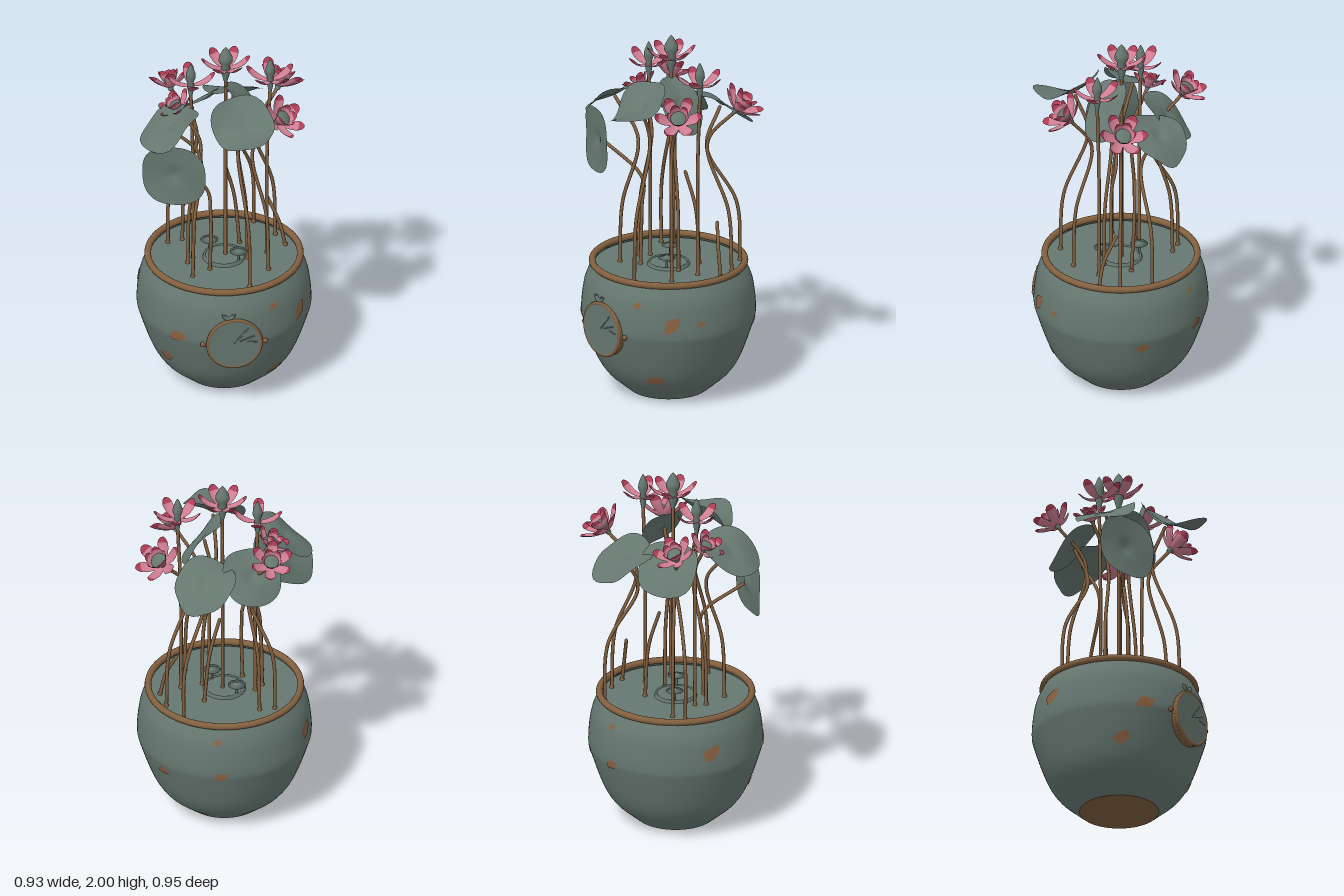
import * as THREE from 'three';

const mat = (name, color, double) => {
  const m = new THREE.MeshStandardMaterial({ color });
  m.name = name;
  if (double) m.side = THREE.DoubleSide;
  return m;
};
const V = (p) => new THREE.Vector3(...p);
const UP = new THREE.Vector3(0, 1, 0);
const FLOOR = 0.69;

export function createModel() {
  const green = mat('greyGreen', 0x667770, true);
  const brown = mat('stemBrown', 0x82603f);
  const rust = mat('rust', 0x8a6242, true);
  const pink = mat('petalPink', 0xcf7d91, true);
  const rose = mat('petalRose', 0xb03e57, true);

  const model = new THREE.Group();
  const add = (parent, name, geo, material, pos = [0, 0, 0]) => {
    const m = new THREE.Mesh(geo, material);
    m.name = name;
    m.position.set(...pos);
    parent.add(m);
    return m;
  };
  const points2 = (pts) => pts.map(([x, y]) => new THREE.Vector2(x, y));

  // Pot wall: a smooth lathe through a few profile points
  const profile = new THREE.SplineCurve(points2([[0.212, 0], [0.265, 0.045], [0.335, 0.11], [0.392, 0.205],
    [0.453, 0.38], [0.467, 0.46], [0.449, 0.61], [0.405, 0.71]])).getPoints(50);
  add(model, 'pot', new THREE.LatheGeometry(profile, 72), green);
  const radiusAt = (y) => {
    const i = Math.max(1, profile.findIndex((p) => p.y >= y));
    const a = profile[i - 1], b = profile[i];
    return a.x + (b.x - a.x) * (y - a.y) / (b.y - a.y);
  };
  add(model, 'potBase', new THREE.CylinderGeometry(0.226, 0.212, 0.012, 48), brown, [0, 0.006, 0]);
  add(model, 'rim', new THREE.TorusGeometry(0.408, 0.018, 12, 72), brown, [0, 0.718, 0]).rotation.x = Math.PI / 2;

  // Inner surface with a round centre plate and two little floating pads
  add(model, 'innerSurface', new THREE.CylinderGeometry(0.4, 0.4, 0.01, 64), green, [0, FLOOR, 0]);
  add(model, 'centrePlate', new THREE.CylinderGeometry(0.11, 0.115, 0.012, 40), green, [0, 0.7, 0]);
  add(model, 'plateRing', new THREE.TorusGeometry(0.105, 0.006, 8, 40), green, [0, 0.706, 0]).rotation.x = Math.PI / 2;
  const padProfile = points2([[0.006, 0], [0.008, 0.055], [0.048, 0.06], [0.012, 0.068], [0, 0.08]]);
  for (const s of [-1, 1]) {
    add(model, 'floatingPad', new THREE.LatheGeometry(padProfile, 16), green, [0.07 * s, 0.705, 0.07 * s]);
  }

  // Rust patches: irregular fans that follow the pot wall
  const patch = (angle, y, w, h, seed) => {
    const pos = [], idx = [], n = 12;
    for (let i = 0; i <= n; i++) {
      const a = (i / n) * Math.PI * 2;
      const k = i === n ? 0 : 0.95 + 0.15 * Math.sin(seed * 2.3 + i * 1.9);
      const py = y + h * k * Math.sin(a), r = radiusAt(py) + 0.004;
      const t = angle + (w * k * Math.cos(a) + 0.4 * h * k * Math.sin(a)) / r;
      pos.push(r * Math.sin(t), py, r * Math.cos(t));
      if (i < n) idx.push(n, i, (i + 1) % n);
    }
    const g = new THREE.BufferGeometry();
    g.setAttribute('position', new THREE.Float32BufferAttribute(pos, 3));
    g.setIndex(idx);
    g.computeVertexNormals();
    add(model, 'rustPatch', g, rust);
  };
  // [angle from the front, height, half width, half height]
  [[-0.68, 0.44, 0.05, 0.035], [-0.95, 0.25, 0.045, 0.035], [0.92, 0.51, 0.042, 0.048], [0.68, 0.16, 0.05, 0.028],
    [0.5, 0.61, 0.022, 0.02], [1.27, 0.51, 0.025, 0.014], [2.4, 0.38, 0.04, 0.025], [-1.87, 0.54, 0.05, 0.042],
    [3.16, 0.43, 0.035, 0.028], [-3.17, 0.635, 0.022, 0.016]].forEach((p, i) => patch(...p, i));

  // Round front plate with ring, side knobs, top clasp and raised creases
  const plate = new THREE.Group();
  plate.name = 'frontPlate';
  plate.position.set(0, 0.43, 0.455);
  model.add(plate);
  add(plate, 'plateDisc', new THREE.CylinderGeometry(0.14, 0.14, 0.05, 48), green, [0, 0, -0.011]).rotation.x = Math.PI / 2;
  add(plate, 'plateEdge', new THREE.TorusGeometry(0.143, 0.01, 10, 56), brown, [0, 0, 0.006]);
  add(plate, 'plateBand', new THREE.CylinderGeometry(0.148, 0.148, 0.045, 48, 1, true), brown, [0, 0, -0.018]).rotation.x = Math.PI / 2;
  for (const s of [-1, 1]) add(plate, 'sideKnob', new THREE.SphereGeometry(0.014, 12, 8), brown, [0.168 * s, -0.005, -0.012]);
  add(plate, 'topClasp', new THREE.TorusGeometry(0.027, 0.01, 8, 16, Math.PI), green, [-0.03, 0.18, 0]).rotation.z = Math.PI;
  for (let i = 0; i < 3; i++) {
    const crease = new THREE.CapsuleGeometry(0.004, 0.11 - 0.03 * i, 4, 8);
    add(plate, 'crease', crease, green, [0.035 + 0.03 * i, 0.05 - 0.02 * i, 0.013]).rotation.z = -0.7 - 0.5 * i;
  }

  // Stems: rise from the base, lean in towards the middle, then reach the end point
  const tube = (pts) => {
    add(model, 'stem', new THREE.TubeGeometry(new THREE.CatmullRomCurve3(pts), 32, 0.0095, 8), brown);
    add(model, 'stemCollar', new THREE.CylinderGeometry(0.0095, 0.014, 0.02, 10), brown, [pts[0].x, 0.702, pts[0].z]);
    add(model, 'stemEnd', new THREE.SphereGeometry(0.0095, 8, 6), brown, pts.at(-1).toArray());
  };
  const stem = ([x, z], end) => {
    const base = new THREE.Vector3(x, FLOOR, z), tip = V(end);
    const knee = new THREE.Vector3(x * 0.95, 1.03, z * 0.95);
    const mid = base.clone().lerp(tip, 0.4).multiplyScalar(0.6).setY(tip.y - 0.2);
    tube([base, knee, mid, tip]);
  };
  // Two broken-off stalks
  tube([[0.34, FLOOR, -0.08], [0.31, 0.83, -0.09], [0.25, 0.97, -0.13]].map(V));
  tube([[0.1, FLOOR, -0.13], [0.07, 1, -0.13], [0.02, 1.2, -0.1]].map(V));

  // Leaves: a disc bent along its tip axis, with a dimple, wavy edge and optional point
  const leaf = (base, center, normal, tipDir, { R = 0.16, width = 1, tip = 0.05, bend = -0.6, wave = 0.012 }) => {
    const rings = 9, seg = 40, pos = [0, -0.015, 0], idx = [];
    for (let i = 1; i <= rings; i++) for (let j = 0; j < seg; j++) {
      const a = (j / seg) * Math.PI * 2, c = Math.cos(a), s = Math.sin(a), u = i / rings;
      const round = Math.pow(Math.abs(c) ** 2.6 + Math.abs(s) ** 2.6, -1 / 2.6);
      const r = R * u * round * (1 + tip * Math.max(0, c) ** 12), x = r * c;
      pos.push(x, bend * x * x + wave * u * u * Math.sin(3 * a + 0.7) - 0.015 * Math.exp(-u * u * 20), r * s * width);
      const b = 1 + (i - 1) * seg, k = b + j, k2 = b + (j + 1) % seg;
      if (i === 1) idx.push(0, k2, k);
      else idx.push(k - seg, k2 - seg, k, k, k2 - seg, k2);
    }
    const g = new THREE.BufferGeometry();
    g.setAttribute('position', new THREE.Float32BufferAttribute(pos, 3));
    g.setIndex(idx);
    g.computeVertexNormals();
    const n = V(normal).normalize(), t = V(tipDir);
    t.addScaledVector(n, -t.dot(n)).normalize();
    const m = add(model, 'leaf', g, green, center);
    m.quaternion.setFromRotationMatrix(new THREE.Matrix4().makeBasis(t, n, t.clone().cross(n)));
    stem(base, V(center).addScaledVector(n, -0.029).toArray());
  };
  leaf([-0.09, 0.12], [-0.3, 1.378, 0.25], [-0.33, 0.03, 0.94], [0, -1, 0], { R: 0.174, tip: 0, bend: 0.3, wave: 0.006 });
  leaf([-0.19, 0.18], [-0.318, 1.615, 0.122], [-0.5, 0.86, 0.08], [-0.6, -0.2, 0.4], { R: 0.163, bend: -1, wave: 0.016 });
  leaf([0.1, 0.32], [0.07, 1.665, 0.258], [-0.14, 0.84, 0.5], [0.36, -0.5, 0.7], { R: 0.16, tip: 0.28, bend: 2, wave: 0.016 });
  leaf([0.2, -0.33], [0.085, 1.57, -0.3], [0.05, 0.86, -0.5], [0.4, -0.4, -0.7], { R: 0.155, tip: 0.3, bend: -1 });
  leaf([-0.28, -0.18], [-0.16, 1.55, -0.2], [-0.35, 0.72, -0.55], [-0.3, -0.4, -0.5], {});
  leaf([0.12, 0.03], [0.13, 1.645, 0.02], [0.78, 0.6, 0.1], [0.6, -0.78, 0], { R: 0.17, width: 0.65 });

  // Petal strip between u0 and u1 of its length, curving from elevation e0 to e1
  const petalGeo = (len, wid, e0, e1, cup, u0, u1) => {
    const g = new THREE.PlaneGeometry(1, 1, 6, 8), p = g.attributes.position;
    for (let i = 0; i < p.count; i++) {
      const v = p.getX(i) * 2, u = u0 + (u1 - u0) * (0.5 - p.getY(i));
      let out = 0, up = 0;
      for (let k = 0; k < 10; k++) {
        const e = e0 + (e1 - e0) * u * (k + 0.5) / 10;
        out += Math.cos(e) * len * u / 10;
        up += Math.sin(e) * len * u / 10;
      }
      const e = e0 + (e1 - e0) * u, grow = Math.min(1, u / 0.72), taper = Math.max(0, (u - 0.72) / 0.28);
      const w = wid / 2 * (0.35 + 0.65 * Math.sin(grow * Math.PI / 2)) * Math.sqrt(Math.max(0, 1 - taper ** 2));
      const lift = cup * v * v * w;
      p.setXYZ(i, v * w, up + lift * Math.cos(e), out - lift * Math.sin(e));
    }
    g.computeVertexNormals();
    return g;
  };
  const whorl = (parent, count, turn, base, shape) => {
    const body = petalGeo(...shape, 0, 0.78), end = petalGeo(...shape, 0.78, 1);
    for (let i = 0; i < count; i++) {
      const a = turn + (i / count) * Math.PI * 2;
      add(parent, 'petal', body, base).rotation.y = a;
      add(parent, 'petalTip', end, rose).rotation.y = a;
    }
  };
  const flower = (name, pos, axis) => {
    const f = new THREE.Group();
    f.name = name;
    f.position.set(...pos);
    f.quaternion.setFromUnitVectors(UP, V(axis).normalize());
    model.add(f);
    return f;
  };

  // Cupped flowers with a broad seed head
  const seedHead = points2([[0.012, -0.015], [0.022, 0.02], [0.043, 0.055], [0.04, 0.065], [0, 0.07]]);
  const cuppedFlower = (base, pos, axis, scale, turn) => {
    const f = flower('cuppedFlower', pos, axis);
    f.scale.setScalar(scale);
    whorl(f, 6, turn, pink, [0.155, 0.064, 0.25, 0.9, 0.35]);
    whorl(f, 5, turn + 0.5, pink, [0.125, 0.058, 0.75, 1.35, 0.35]);
    whorl(f, 8, turn, rose, [0.078, 0.036, 0.65, 1.3, 0.2]);
    add(f, 'seedHead', new THREE.LatheGeometry(seedHead, 20), green);
    stem(base, pos);
  };
  cuppedFlower([-0.2, -0.2], [-0.26, 1.635, -0.22], [-0.1, 0.82, -0.5], 0.92, 0);
  cuppedFlower([0.3, -0.19], [0.315, 1.61, -0.205], [0.38, 0.75, -0.45], 1.02, 0.7);
  cuppedFlower([0.22, 0.16], [0.265, 1.605, 0.15], [0.5, 0.7, 0.45], 1, 1.4);
  cuppedFlower([-0.2, 0.04], [-0.235, 1.62, -0.015], [-0.5, 0.8, 0.05], 0.8, 2.1);

  // Open star flowers with an upright bud on a straight stem
  const bud = points2([[0.009, -0.08], [0.028, -0.01], [0.022, 0.02], [0.038, 0.05], [0.036, 0.075], [0.016, 0.115], [0, 0.135]]);
  const starFlower = (x, y, count, girth, turn) => {
    const f = flower('starFlower', [x, y, -0.01], [0, 1, 0]);
    whorl(f, count, turn, pink, [0.158, 0.06, -0.15, 1.1, 0.25]);
    add(f, 'bud', new THREE.LatheGeometry(bud, 20), green).scale.set(girth, 1, girth);
    tube([[x * 0.93, FLOOR, -0.01], [x * 0.93, 1.3, -0.01], [x, y - 0.04, -0.01]].map(V));
  };
  starFlower(0.01, 1.865, 6, 1, 0.52);
  starFlower(-0.178, 1.775, 4, 0.7, 0);
  starFlower(0.25, 1.775, 5, 0.7, 0.6);

  return model;
}
